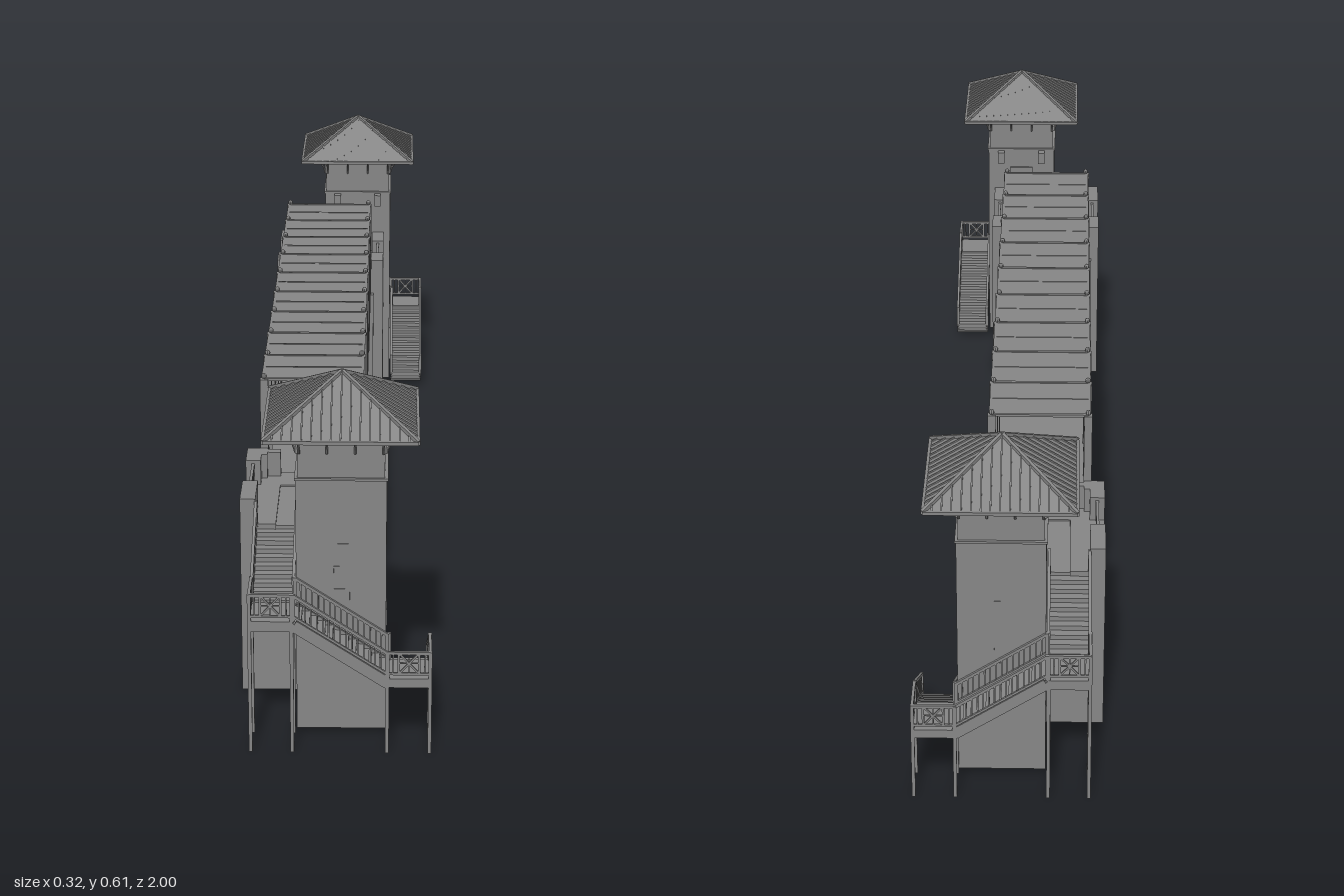
import * as THREE from 'three';
import { mergeGeometries } from 'three/addons/utils/BufferGeometryUtils.js';

const V = (x, y, z) => new THREE.Vector3(x, y, z);
const material = new THREE.MeshStandardMaterial({ color: 0x868686, flatShading: true });
const shellMaterial = new THREE.MeshStandardMaterial({ color: 0x868686, flatShading: true, side: THREE.DoubleSide });
const BASE = 0.007;

// One named mesh from a list of geometries
function part(group, name, geos, mat = material) {
  const mesh = new THREE.Mesh(mergeGeometries(geos.map(g => (g.index ? g.toNonIndexed() : g))), mat);
  mesh.name = name;
  group.add(mesh);
}

// Masonry shell left open at its foot
function openFoot(geo) {
  const g = geo.index ? geo.toNonIndexed() : geo, p = g.attributes.position, keep = [];
  for (let i = 0; i < p.count; i += 3) {
    if (Math.max(p.getY(i), p.getY(i + 1), p.getY(i + 2)) > BASE + 0.001) keep.push(i, i + 1, i + 2);
  }
  g.setIndex(keep);
  return g.toNonIndexed();
}

// Box given by its limits
const box = (x0, x1, y0, y1, z0, z1) => new THREE.BoxGeometry(x1 - x0, y1 - y0, z1 - z0)
  .translate((x0 + x1) / 2, (y0 + y1) / 2, (z0 + z1) / 2);

// Square bar between two points
function bar(a, b, w = 0.004, h = w) {
  const o = new THREE.Object3D();
  o.position.copy(a).add(b).multiplyScalar(0.5);
  o.lookAt(b);
  o.updateMatrix();
  return new THREE.BoxGeometry(w, h, a.distanceTo(b)).applyMatrix4(o.matrix);
}

// Railing from floor point a to b: end posts, two rails, balusters, optional cross panel
function railing(a, b, n, cross = false, h = 0.045) {
  const at = (t, y) => a.clone().lerp(b, t).add(V(0, y, 0));
  const out = [bar(at(0, h), at(1, h), 0.005), bar(at(0, 0.008), at(1, 0.008), 0.004)];
  for (const t of [0, 1]) out.push(bar(at(t, 0), at(t, h + 0.002), 0.006));
  for (let i = 1; i < n; i++) {
    const t = i / n;
    if (!cross || t < 0.26 || t > 0.74) out.push(bar(at(t, 0.008), at(t, h), 0.0025));
  }
  if (cross) {
    out.push(bar(at(0.26, 0.008), at(0.74, h), 0.003), bar(at(0.26, h), at(0.74, 0.008), 0.003));
    out.push(bar(at(0.26, 0.008), at(0.26, h), 0.004), bar(at(0.74, 0.008), at(0.74, h), 0.004));
    out.push(bar(at(0.26, 0.027), at(0.74, 0.027), 0.002), bar(at(0.5, 0.008), at(0.5, h), 0.002));
  }
  return out;
}

// Straight flight from the top edge centre to the bottom edge centre
function flight(top, bottom, width, n) {
  const run = bottom.clone().sub(top), flat = V(run.x, 0, run.z), depth = flat.length() / n;
  const side = V(0, 1, 0).cross(flat).normalize().multiplyScalar(width / 2);
  const alongX = Math.abs(run.x) > Math.abs(run.z);
  const steps = [], rails = [];
  for (let i = 0; i < n; i++) {
    const p = top.clone().lerp(bottom, (i + 0.5) / n);
    steps.push(new THREE.BoxGeometry(alongX ? depth : width, 0.01, alongX ? width : depth).translate(p.x, p.y - 0.005, p.z));
  }
  const down = V(0, -0.014, 0);
  steps.push(bar(top.clone().add(down), bottom.clone().add(down), width, 0.009));
  for (const s of [-1, 1]) {
    const off = side.clone().multiplyScalar(s * 0.95);
    const a = top.clone().add(off), b = bottom.clone().add(off);
    steps.push(bar(a.clone().add(V(0, -0.008, 0)), b.clone().add(V(0, -0.008, 0)), 0.004, 0.02));
    rails.push(...railing(a, b, 16));
  }
  return { steps, rails };
}

// Wall with an arched notch, drawn in u/y and extruded by depth
function archWall(u0, u1, top, a0, a1, spring, crown, depth) {
  const s = new THREE.Shape();
  s.moveTo(u0, BASE); s.lineTo(a0, BASE); s.lineTo(a0, spring);
  s.absellipse((a0 + a1) / 2, spring, (a1 - a0) / 2, crown - spring, Math.PI, 0, true);
  s.lineTo(a1, BASE); s.lineTo(u1, BASE); s.lineTo(u1, top); s.lineTo(u0, top);
  return openFoot(new THREE.ExtrudeGeometry(s, { depth, bevelEnabled: false, curveSegments: 12 }));
}

// Square tower with its hipped roof
function buildTower(end) {
  const cx = 0.0115, cz = 0.855, hw = 0.0735, eave = 0.535, r = 0.123, rise = 0.076;
  const place = (g, k) => g.rotateY(k * Math.PI / 2).translate(cx, 0, cz);
  part(end, 'towerWalls', [openFoot(place(box(-hw, hw, BASE, 0.453, -hw, hw), 0)),
    place(box(-hw + 0.003, hw - 0.003, 0.453, 0.533, -hw + 0.003, hw - 0.003), 0),
    place(box(-hw - 0.002, hw + 0.002, 0.451, 0.455, -hw - 0.002, hw + 0.002), 0)], shellMaterial);
  part(end, 'towerRoof', [place(new THREE.ConeGeometry(r * Math.SQRT2, rise, 4).rotateY(Math.PI / 4).translate(0, eave + rise / 2, 0), 0)]);
  const ribs = [], brackets = [];
  for (let k = 0; k < 4; k++) {
    ribs.push(place(bar(V(-r, eave, r), V(r, eave, r), 0.005, 0.006), k));
    ribs.push(place(bar(V(r, eave + 0.002, r), V(0, eave + rise + 0.001, 0), 0.006), k));
    for (let i = -7; i <= 7; i++) {
      const t = i * 0.0155;
      ribs.push(place(bar(V(t, eave + 0.001, r), V(t, eave + 0.001 + rise * (1 - Math.abs(t) / r), Math.abs(t)), 0.0025), k));
    }
    for (const t of [-0.068, -0.0227, 0.0227, 0.068]) {
      const curve = new THREE.QuadraticBezierCurve3(V(t, 0.497, hw), V(t, 0.526, hw + 0.003), V(t, 0.532, hw + 0.04));
      brackets.push(place(new THREE.TubeGeometry(curve, 8, 0.0018, 4), k));
      brackets.push(place(box(t - 0.002, t + 0.002, 0.496, 0.533, hw - 0.006, hw), k));
    }
  }
  part(end, 'roofRibs', ribs);
  part(end, 'eaveBrackets', brackets);

  // Crossed windows on the side wall
  const win = [], x = cx + hw - 0.0005, q = 0.016;
  for (const y of [0.185, 0.41]) for (const s of [-1, 1]) {
    win.push(bar(V(x, y - q, cz - s * q), V(x, y + q, cz + s * q), 0.003));
    win.push(bar(V(x, y + s * q, cz - q), V(x, y + s * q, cz + q), 0.003));
    win.push(bar(V(x, y - q, cz + s * q), V(x, y + q, cz + s * q), 0.003));
  }
  part(end, 'sideWindows', win);

  // Tall window strip on the outer wall
  const z = cz + hw - 0.0005, strip = [];
  for (const s of [-1, 1]) strip.push(bar(V(cx + s * 0.013, 0.18, z), V(cx + s * 0.013, 0.38, z), 0.002));
  for (let i = 0; i < 6; i++) strip.push(bar(V(cx - 0.013, 0.18 + i * 0.04, z), V(cx + 0.013, 0.18 + i * 0.04, z), 0.002));
  part(end, 'outerWindow', strip);

  // Door and lamps facing the bridge
  const zi = cz - hw;
  part(end, 'door', [box(cx - 0.02, cx + 0.02, 0.31, 0.405, zi - 0.002, zi), box(cx - 0.025, cx - 0.02, 0.31, 0.41, zi - 0.005, zi),
    box(cx + 0.02, cx + 0.025, 0.31, 0.41, zi - 0.005, zi), box(cx - 0.025, cx + 0.025, 0.405, 0.411, zi - 0.005, zi)]);
  part(end, 'lamps', [-1, 1].map(s => box(cx + s * 0.045 - 0.007, cx + s * 0.045 + 0.007, 0.425, 0.45, zi - 0.017, zi)));
}

// Arched abutment carrying the platform between tower and bridge
function buildAbutment(end) {
  const sideWall = x0 => archWall(-0.792, -0.56, 0.315, -0.74, -0.625, 0.195, 0.235, 0.06).rotateY(Math.PI / 2).translate(x0, 0, 0);
  part(end, 'archedPiers', [sideWall(-0.161), sideWall(0.011),
    archWall(-0.16, 0.07, 0.315, -0.093, 0.003, 0.195, 0.235, 0.06).translate(0, 0, 0.56),
    openFoot(box(-0.101, -0.062, BASE, 0.235, 0.74, 0.792))], shellMaterial);
  part(end, 'platform', [box(-0.158, 0.068, 0.24, 0.312, 0.562, 0.79)]);
  const parapet = [];
  for (const [x0, x1, c0, c1] of [[-0.161, -0.135, -0.161, -0.125], [0.045, 0.071, 0.035, 0.071]]) {
    parapet.push(box(x0, x1, 0.31, 0.36, 0.56, 0.62), box(c0, c1, 0.31, 0.36, 0.56, 0.59), box(x0, x1, 0.31, 0.36, 0.71, 0.792));
  }
  parapet.push(box(-0.135, -0.102, 0.31, 0.36, 0.565, 0.58), box(0.01, 0.045, 0.31, 0.36, 0.565, 0.58));
  part(end, 'parapet', parapet);
  part(end, 'parapetRailings', [-0.148, 0.058].flatMap(x => railing(V(x, 0.312, 0.62), V(x, 0.312, 0.71), 10, true, 0.04)));
  part(end, 'bridgePilasters', [[-0.145, -0.105], [0.01, 0.05]].map(([x0, x1]) => openFoot(box(x0, x1, BASE, 0.285, 0.546, 0.56))), shellMaterial);
}

// Three flights wrapping the tower with two landings on thin posts
function buildStairs(end) {
  const hi = 0.235, lo = 0.135;
  const flights = [flight(V(-0.1, 0.31, 0.79), V(-0.1, hi, 0.928), 0.072, 9),
    flight(V(-0.064, hi, 0.964), V(0.087, lo, 0.964), 0.07, 12),
    flight(V(0.1235, lo, 0.928), V(0.1235, 0.029, 0.747), 0.07, 14)];
  part(end, 'stairSteps', flights.flatMap(f => f.steps));
  part(end, 'stairRailings', flights.flatMap(f => f.rails));
  part(end, 'landings', [box(-0.138, -0.064, hi - 0.018, hi, 0.928, 1), box(0.087, 0.16, lo - 0.016, lo, 0.928, 1)]);
  const posts = [];
  for (const [xs, top] of [[[-0.135, -0.067], hi], [[0.0875, 0.157], lo]])
    for (const x of xs) for (const z of [0.932, 0.997]) posts.push(box(x - 0.003, x + 0.003, 0, top, z - 0.003, z + 0.003));
  part(end, 'landingPosts', posts);
  part(end, 'landingRailings', [
    ...railing(V(-0.135, hi, 0.997), V(-0.067, hi, 0.997), 8, true), ...railing(V(-0.135, hi, 0.93), V(-0.135, hi, 0.997), 8, true),
    ...railing(V(0.088, lo, 0.997), V(0.157, lo, 0.997), 8, true), ...railing(V(0.157, lo, 0.93), V(0.157, lo, 0.997), 8, true)]);
}

// Covered walkway spanning the two ends
function buildBridge(bridge) {
  const xl = -0.131, xr = 0.038, bay = 0.1233, n = 9, zAt = i => (i - n / 2) * bay;
  part(bridge, 'deck', [box(xl, xr, 0.29, 0.3, -0.562, 0.562), box(xl - 0.006, xl + 0.005, 0.281, 0.306, -0.56, 0.56),
    box(xr - 0.005, xr + 0.006, 0.281, 0.306, -0.56, 0.56)]);
  part(bridge, 'roofPanel', [box(xl, xr, 0.485, 0.488, -0.557, 0.557)]);
  const posts = [], beams = [], braces = [], truss = [], rails = [];
  for (const x of [xl, xr]) beams.push(box(x - 0.005, x + 0.005, 0.477, 0.488, -0.557, 0.557));
  for (let i = 0; i <= n; i++) {
    const z = zAt(i);
    beams.push(box(xl, xr, 0.485, 0.4895, z - 0.003, z + 0.003));
    truss.push(box(xl, xr, 0.278, 0.291, z - 0.004, z + 0.004));
    for (const x of [xl, xr]) {
      posts.push(box(x - 0.007, x + 0.007, 0.283, 0.488, z - 0.006, z + 0.006));
      posts.push(new THREE.SphereGeometry(0.005, 8, 6).translate(x, 0.493, z));
      for (const s of [-1, 1]) {
        if (Math.abs(z + s * 0.03) > 0.56) continue;
        braces.push(new THREE.TubeGeometry(new THREE.QuadraticBezierCurve3(V(x, 0.445, z), V(x, 0.473, z + s * 0.006), V(x, 0.48, z + s * 0.032)), 6, 0.0022, 4));
      }
      if (i < n) rails.push(...railing(V(x, 0.303, z), V(x, 0.303, z + bay), 16, true));
    }
    if (i < n) {
      const mid = (xl + xr) / 2, m = z + bay / 2;
      beams.push(box(xl, xr, 0.485, 0.489, m - 0.002, m + 0.002));
      truss.push(bar(V(xl, 0.284, z), V(mid, 0.284, m), 0.007), bar(V(xr, 0.284, z), V(mid, 0.284, m), 0.007));
      truss.push(bar(V(mid, 0.284, m), V(i % 2 ? xl : xr, 0.284, z + bay), 0.007));
    }
  }
  part(bridge, 'canopyPosts', posts);
  part(bridge, 'canopyBeams', beams);
  part(bridge, 'canopyBraces', braces);
  part(bridge, 'underDeckTruss', truss);
  part(bridge, 'bridgeRailings', rails);
}

export function createModel() {
  const [model, bridge, front] = ['coveredFootbridge', 'bridge', 'frontTowerEnd'].map(name => Object.assign(new THREE.Group(), { name }));
  buildBridge(bridge);
  for (const build of [buildTower, buildAbutment, buildStairs]) build(front);
  const back = front.clone();
  back.name = 'backTowerEnd';
  back.scale.z = -1;
  return model.add(bridge, front, back);
}
